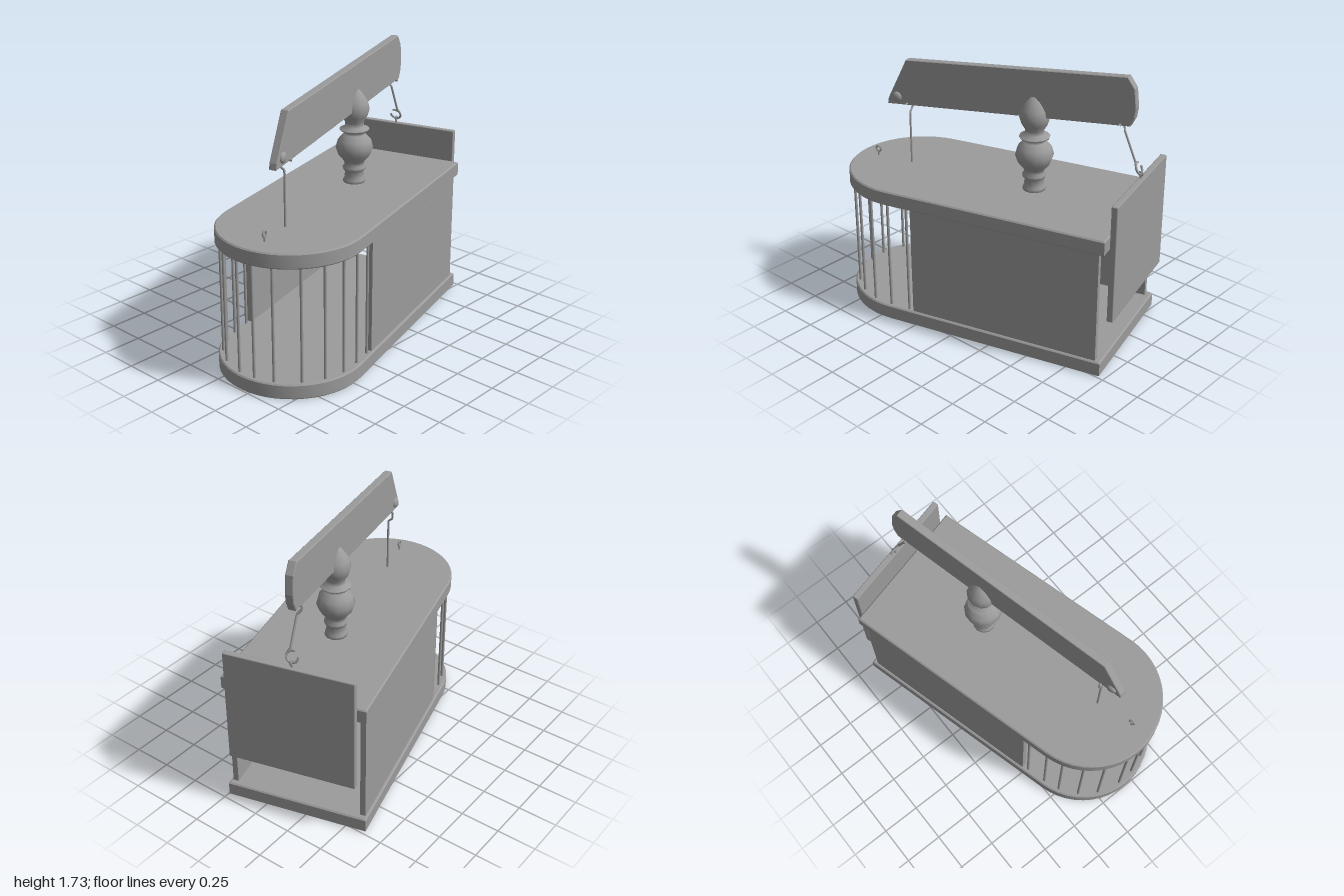
import * as THREE from 'three';
import { toCreasedNormals } from 'three/addons/utils/BufferGeometryUtils.js';
import { RoundedBoxGeometry } from 'three/addons/geometries/RoundedBoxGeometry.js';

const R = 0.45;           // half width and nose radius
const NOSE = 0.577;       // centre of the rounded front
const BACK = -0.871;      // rear edge of base and roof
const BASE_TOP = 0.099, ROOF_BOTTOM = 0.812, ROOF_TOP = 0.907;

export function createModel() {
  const model = new THREE.Group();
  model.name = 'boxTrap';
  const grey = new THREE.MeshStandardMaterial({ color: 0x9b9b9b });
  const body = new THREE.Group();
  body.name = 'trapBody';
  body.rotation.y = THREE.MathUtils.degToRad(15);
  body.position.set(0.031, 0, -0.008);
  model.add(body);

  const add = (name, geometry, x = 0, y = 0, z = 0) => {
    const mesh = new THREE.Mesh(geometry, grey);
    mesh.name = name;
    mesh.position.set(x, y, z);
    body.add(mesh);
    return mesh;
  };

  // Wire bent along straight segments
  const wire = (name, points) => {
    const path = new THREE.CurvePath();
    const pts = points.map((p) => new THREE.Vector3(...p));
    for (let i = 1; i < pts.length; i++) path.add(new THREE.LineCurve3(pts[i - 1], pts[i]));
    return add(name, new THREE.TubeGeometry(path, 60, 0.007, 6));
  };

  // Base and roof slabs: straight back, round nose, small bevel
  const slab = (name, y0, y1) => {
    const b = 0.008;
    const s = new THREE.Shape();
    s.moveTo(R, -BACK);
    s.lineTo(R, -NOSE);
    s.absarc(0, -NOSE, R, 0, Math.PI, true);
    s.lineTo(-R, -BACK);
    s.closePath();
    const g = new THREE.ExtrudeGeometry(s, {
      depth: y1 - y0 - 2 * b, curveSegments: 12,
      bevelSize: b, bevelThickness: b, bevelOffset: -b, bevelSegments: 1,
    });
    g.rotateX(-Math.PI / 2);
    add(name, toCreasedNormals(g, 0.5), 0, y0 + b, 0);
  };
  slab('base', 0.003, BASE_TOP);
  slab('roof', ROOF_BOTTOM, ROOF_TOP);

  // Side walls
  const h = ROOF_BOTTOM - BASE_TOP, midY = (ROOF_BOTTOM + BASE_TOP) / 2;
  for (const side of [-1, 1]) {
    add(side > 0 ? 'leftWall' : 'rightWall',
      new THREE.BoxGeometry(0.034, h, 1.237), side * 0.418, midY, -0.2165);
  }

  // Cage bars set by hand around the nose, plus one pair on the straight part
  const barGeo = new THREE.CylinderGeometry(0.009, 0.009, h, 8);
  for (const degrees of [-91, -76, -58, -40, -18.5, -3, 14, 36, 55, 73, 91]) {
    const a = THREE.MathUtils.degToRad(degrees);
    add('cageBar', barGeo, 0.42 * Math.sin(a), midY, NOSE + 0.42 * Math.cos(a));
  }
  for (const side of [-1, 1]) add('cageBar', barGeo, side * 0.42, midY, 0.437);

  // Lifting door behind the body
  add('door', new RoundedBoxGeometry(0.805, 0.745, 0.04, 1, 0.007), 0, 0.7375, -0.903);

  // Turned post carrying the arm
  const profile = [
    [0, 0.9], [0.07, 0.9], [0.07, 0.925], [0.058, 0.935], [0.062, 0.955], [0.056, 0.975],
    [0.07, 0.99], [0.074, 1.008], [0.06, 1.02], [0.066, 1.045], [0.1, 1.085], [0.118, 1.135],
    [0.105, 1.185], [0.07, 1.222], [0.055, 1.235], [0.092, 1.248], [0.095, 1.258],
    [0.06, 1.272], [0.058, 1.3], [0.08, 1.335], [0.094, 1.38], [0.084, 1.43],
    [0.055, 1.475], [0.025, 1.512], [0, 1.52],
  ].map(([r, y]) => new THREE.Vector2(r, y));
  add('post', new THREE.LatheGeometry(profile, 12), 0, 0, -0.225);

  // Tilted lever arm, drawn in side profile
  const arm = new THREE.Shape([
    [0.784, 1.294], [0.778, 1.332], [0.642, 1.602], [-0.805, 1.73], [-0.85, 1.665],
    [-0.863, 1.55], [-0.855, 1.49], [-0.83, 1.436],
  ].map(([z, y]) => new THREE.Vector2(z, y)));
  const armGeo = new THREE.ExtrudeGeometry(arm, {
    depth: 0.042, bevelSize: 0.004, bevelThickness: 0.004, bevelOffset: -0.004, bevelSegments: 1,
  });
  armGeo.translate(0, 0, -0.021).rotateY(-Math.PI / 2);
  add('leverArm', armGeo);

  // Domed bolt heads near the front of the arm
  for (const side of [-1, 1]) {
    const head = add('boltHead', new THREE.SphereGeometry(0.033, 14, 10), side * 0.025, 1.35, 0.713);
    head.scale.x = 0.55;
  }

  // Front trigger rod hooked through the arm
  wire('triggerRod', [
    [0.045, 1.316, 0.642], [-0.035, 1.316, 0.642], [-0.035, 1.27, 0.642],
    [-0.007, 1.25, 0.642], [-0.007, 0.89, 0.642],
  ]);

  // Rear link from the arm to the open hook above the door
  wire('doorLink', [
    [0.045, 1.438, -0.772], [-0.035, 1.438, -0.772], [-0.035, 1.42, -0.777],
    [-0.01, 1.39, -0.79], [0, 1.215, -0.866], [0.013, 1.19, -0.876],
  ]);
  const hook = add('doorHook', new THREE.TorusGeometry(0.036, 0.007, 6, 16, 5.2), -0.018, 1.172, -0.884);
  hook.rotation.set(0.43, 0, 3.04);

  // Small screw eyes on the door and the roof
  const eye = (name, x, y, z, stem, radius) => {
    const ring = add(name + 'Ring', new THREE.TorusGeometry(radius, 0.006, 6, 14), x, y + stem + radius, z);
    ring.rotation.y = Math.PI / 2;
    add(name + 'Stem', new THREE.CylinderGeometry(0.006, 0.006, stem + 0.01, 6), x, y + stem / 2 - 0.005, z);
  };
  eye('doorEye', -0.018, 1.11, -0.897, 0.016, 0.012);
  eye('roofEye', 0, ROOF_TOP, 0.886, 0.028, 0.018);

  return model;
}
